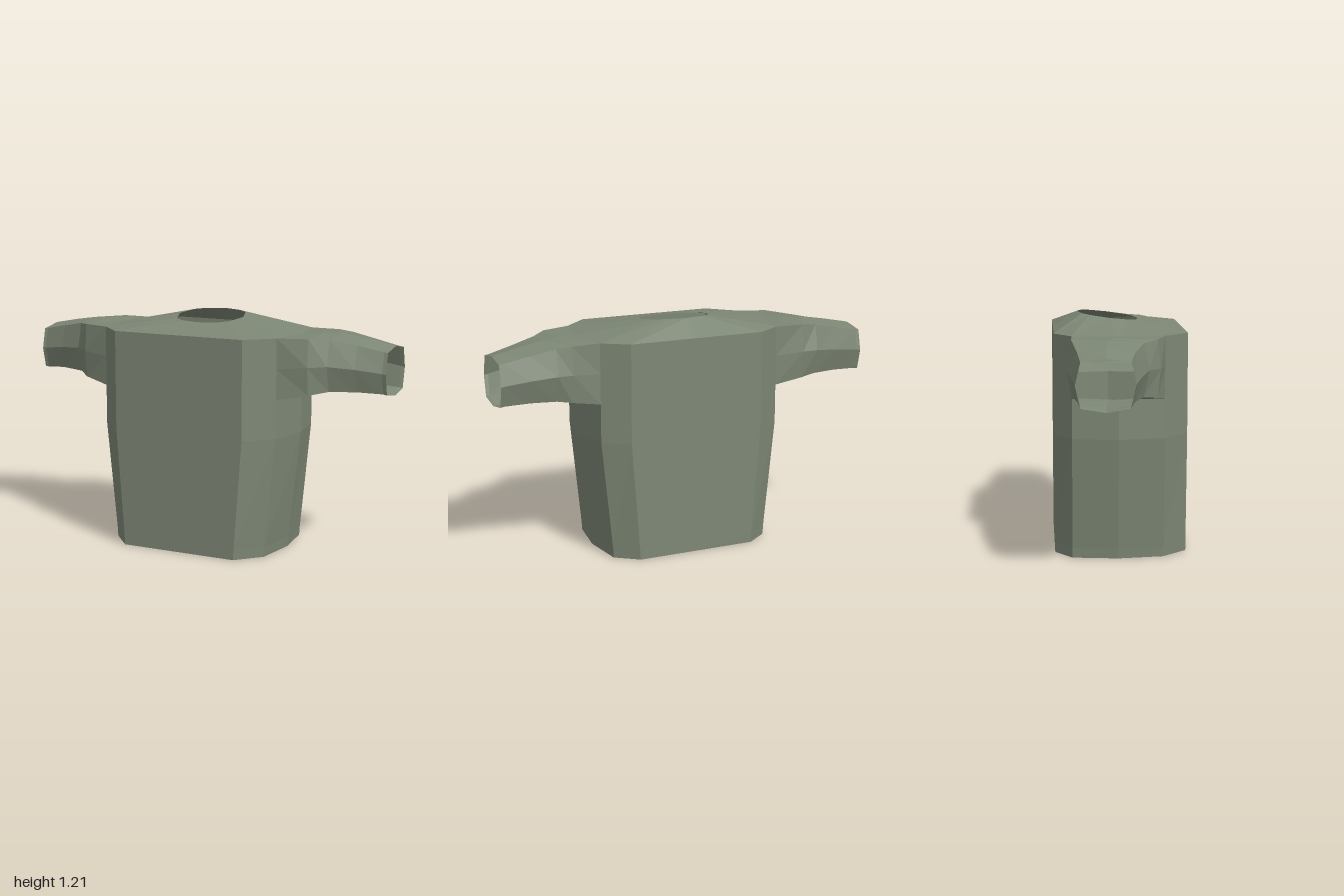
import * as THREE from 'three';

const V = (x, y, z) => new THREE.Vector3(x, y, z);
const cloth = new THREE.MeshStandardMaterial({ color: 0x7d8775, flatShading: true, side: THREE.DoubleSide });
cloth.name = 'sageCloth';

// Skin consecutive closed rings with quads; keep(j) can leave columns open.
function loft(name, rings, flip = false, keep = () => true) {
  const pos = [];
  const tri = (a, b, c) => (flip ? [a, c, b] : [a, b, c]).forEach(p => pos.push(p.x, p.y, p.z));
  for (let i = 0; i < rings.length - 1; i++) {
    const r = rings[i], s = rings[i + 1], n = r.length;
    for (let j = 0; j < n; j++) {
      if (!keep(j)) continue;
      const k = (j + 1) % n;
      tri(r[j], r[k], s[k]);
      tri(r[j], s[k], s[j]);
    }
  }
  const geo = new THREE.BufferGeometry();
  geo.setAttribute('position', new THREE.Float32BufferAttribute(pos, 3));
  geo.computeVertexNormals();
  const mesh = new THREE.Mesh(geo, cloth);
  mesh.name = name;
  return mesh;
}

// Complete a half outline (front centre to back centre) by mirroring in x.
const mirrorRing = half => [...half, ...half.slice(1, -1).reverse().map(p => V(-p.x, p.y, p.z))];

// Torso section: chamfered front and back corners, slightly bowed sides.
const torsoRing = (y, corner, edge, side) => mirrorRing([
  V(0, y, 0.335), V(corner, y, 0.335), V(edge, y, 0.21), V(side, y, -0.02),
  V(edge, y, -0.25), V(corner, y, -0.335), V(0, y, -0.335),
]);

// Eight-sided sleeve section, ordered top, front, bottom, back.
function sleeveRing([x, top, bottom, front, back, inset, drop], side, midX = x) {
  const zc = (front + back) / 2, yc = (top + bottom) / 2;
  const f = front - inset, b = back + inset;
  return [
    V(midX, top, zc), V(x, top - drop, f), V(x, yc, front), V(x, bottom + drop, f),
    V(midX, bottom, zc), V(x, bottom + drop, b), V(x, yc, back), V(x, top - drop, b),
  ].map(p => V(p.x * side, p.y, p.z));
}

export function createModel() {
  const group = new THREE.Group();
  group.name = 'shirt';

  // Tapered torso, open at the hem
  const chest = torsoRing(0.82, 0.36, 0.49, 0.53);
  const shoulderLine = torsoRing(1.13, 0.36, 0.49, 0.53);
  group.add(loft('torso', [
    torsoRing(0, 0.315, 0.43, 0.46),
    torsoRing(0.05, 0.318, 0.433, 0.464),
    torsoRing(0.62, 0.36, 0.49, 0.53),
    chest,
  ]));

  // Upper chest and back, leaving the armholes open
  const armholes = [2, 3, 8, 9];
  group.add(loft('upperTorso', [chest, shoulderLine], false, j => !armholes.includes(j)));

  // Sloping shoulders up to the neck opening
  const neck = mirrorRing([
    [0, 0.11], [0.1, 0.09], [0.15, 0.055], [0.185, -0.05], [0.15, -0.15], [0.1, -0.185], [0, -0.21],
  ].map(([x, z]) => V(x, 1.17 + (0.11 - z) * 0.125, z)));
  group.add(loft('shoulders', [shoulderLine, neck]));

  // Sleeves: x, top, bottom, front, back, corner inset, corner drop
  const sections = [
    [0.49, 1.13, 0.82, 0.21, -0.25, 0, 0],
    [0.64, 1.137, 0.838, 0.175, -0.272, 0.015, 0.008],
    [0.72, 1.135, 0.845, 0.115, -0.28, 0.03, 0.015],
    [0.85, 1.115, 0.842, 0.07, -0.265, 0.03, 0.02],
    [0.98, 1.09, 0.835, 0.035, -0.25, 0.025, 0.022],
    [1, 1.085, 0.833, 0.035, -0.25, 0.025, 0.02],
  ];
  for (const side of [1, -1]) {
    const rings = sections.map((s, i) => sleeveRing(s, side, i === 0 ? 0.53 : s[0]));
    group.add(loft(side > 0 ? 'leftSleeve' : 'rightSleeve', rings, side < 0));
  }
  return group;
}
